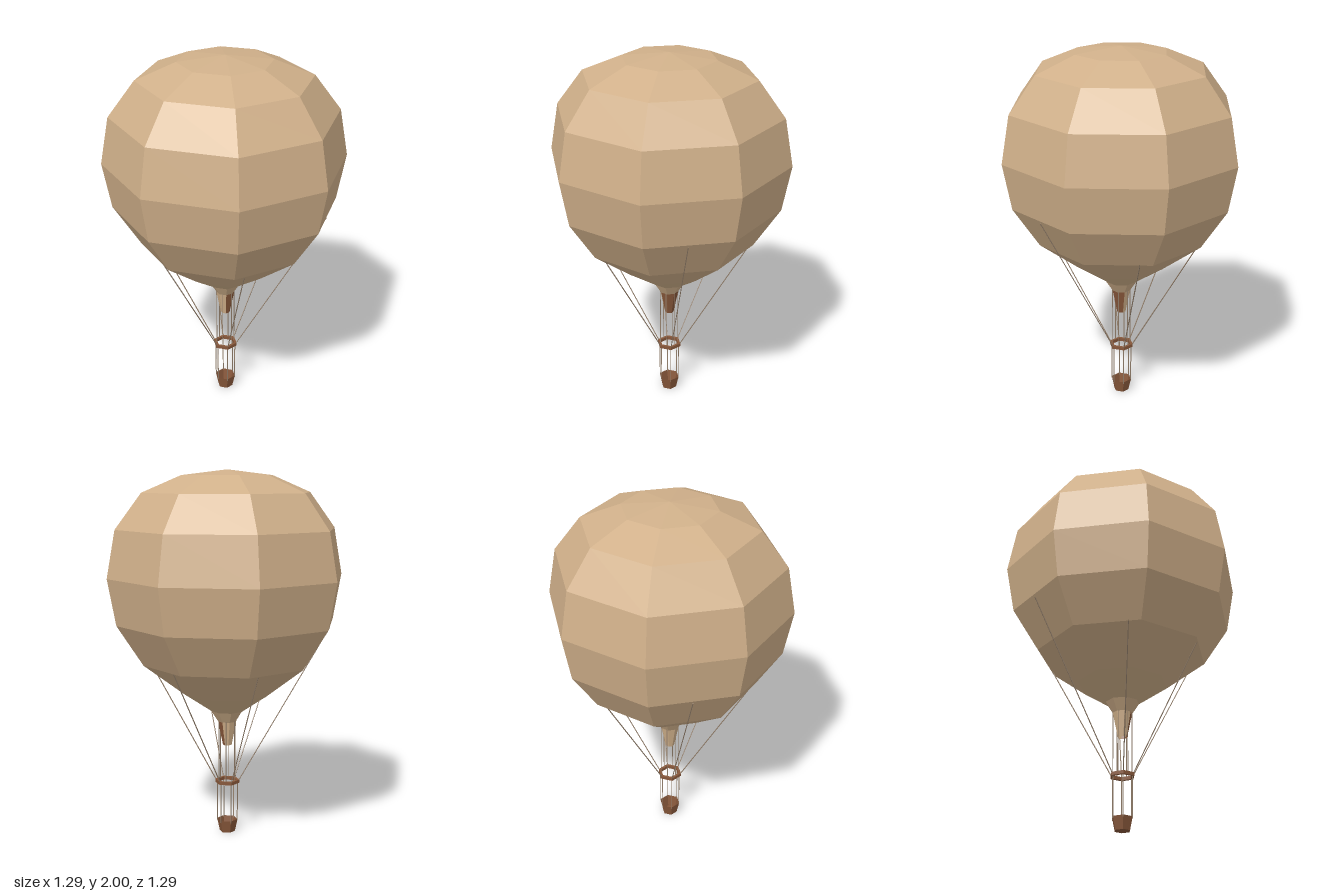
import * as THREE from 'three';

const flat = (color) => new THREE.MeshStandardMaterial({ color, flatShading: true, side: THREE.DoubleSide });
const tan = flat(0xd0b08a), brown = flat(0x87573a), rope = flat(0x94806c);
const deg = Math.PI / 180;

// Point on a circle, angle measured from +x towards +z
const polar = (r, a, y) => new THREE.Vector3(r * Math.cos(a * deg), y, r * Math.sin(a * deg));

function add(parent, name, geometry, material) {
  const mesh = new THREE.Mesh(geometry, material);
  mesh.name = name;
  parent.add(mesh);
  return mesh;
}

function lathe(profile, segments, startDeg, lengthDeg) {
  const pts = profile.map(([r, y]) => new THREE.Vector2(r, y));
  return new THREE.LatheGeometry(pts, segments, startDeg * deg, lengthDeg * deg);
}

function addRope(parent, name, a, b, r = 0.003) {
  const dir = b.clone().sub(a);
  const mesh = add(parent, name, new THREE.CylinderGeometry(r, r, dir.length(), 4), rope);
  mesh.position.copy(a).add(b).multiplyScalar(0.5);
  mesh.quaternion.setFromUnitVectors(new THREE.Vector3(0, 1, 0), dir.normalize());
}

export function createModel() {
  const model = new THREE.Group();
  model.name = 'hotAirBalloon';

  // Eight-sided envelope, slightly turned
  add(model, 'envelope', lathe([
    [0.052, 0.635], [0.09, 0.695], [0.245, 0.80], [0.462, 0.965], [0.604, 1.185],
    [0.65, 1.435], [0.604, 1.69], [0.462, 1.88], [0.25, 1.97], [0, 2],
  ], 8, -7, 360), tan);

  // Tapered neck, three panels in brown
  const neck = [[0.025, 0.5], [0.052, 0.635]];
  add(model, 'neckScoop', lathe(neck, 3, -7, 135), brown);
  add(model, 'neck', lathe(neck, 5, 128, 225), tan);

  // Six-sided open basket, corners on the z axis
  add(model, 'basket', lathe([[0, 0], [0.043, 0], [0.058, 0.07]], 6, 0, 360), brown);

  // Six-sided load ring
  add(model, 'loadRing', lathe([
    [0.052, 0.282], [0.068, 0.282], [0.068, 0.3], [0.052, 0.3], [0.052, 0.282],
  ], 6, 0, 360), brown);

  // Ropes: basket to ring, ring to envelope, and ring to neck
  const ropes = new THREE.Group();
  ropes.name = 'ropes';
  model.add(ropes);
  for (let i = 0; i < 6; i++) {
    const a = 30 + i * 60;
    addRope(ropes, 'basketRope', polar(0.056, a, 0.06), polar(0.057, a, 0.29));
    addRope(ropes, 'envelopeRope', polar(0.06, a, 0.29), polar(0.553, a, 1.17));
    addRope(ropes, 'neckRope', polar(0.05, i * 60, 0.29), polar(0.05, i * 60, 0.65), 0.0025);
  }
  return model;
}
